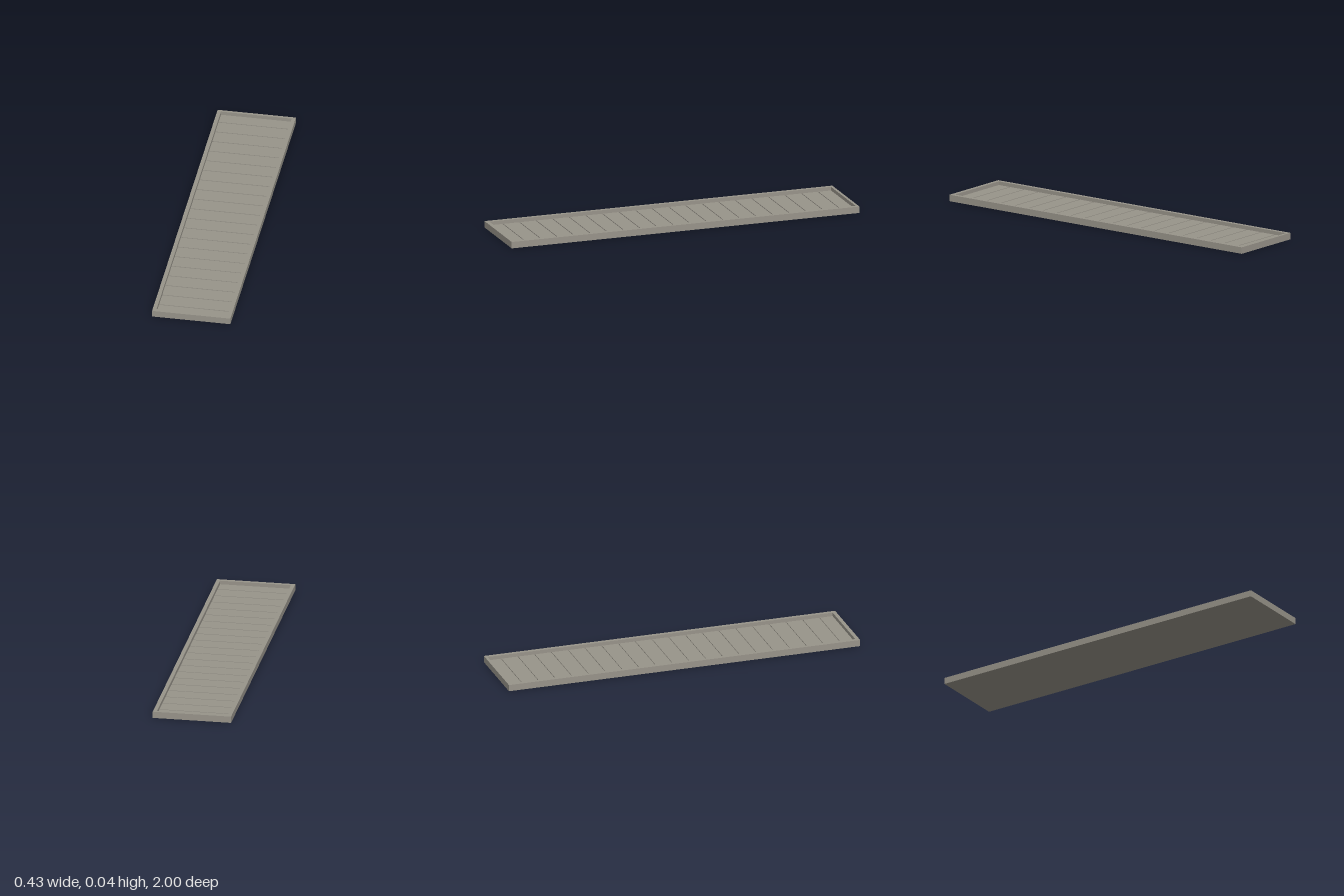
import * as THREE from 'three';

const HALF_W = 0.215, HEIGHT = 0.036;
const INNER_X = 0.194, BACK = -0.985, FRONT = 0.979;
const PLANK_TOP = 0.016, GROOVE_TOP = 0.012, GROOVE = 0.007;

export function createModel() {
  const group = new THREE.Group();
  const stone = new THREE.MeshStandardMaterial({ color: 0x98948a });
  stone.name = 'warm grey';

  const add = (name, geometry) => {
    const mesh = new THREE.Mesh(geometry, stone);
    mesh.name = name;
    group.add(mesh);
    return mesh;
  };

  // Raised border: a rectangular frame, extruded upward
  const rect = (Type, x, z0, z1) => new Type([
    new THREE.Vector2(-x, -z1), new THREE.Vector2(x, -z1),
    new THREE.Vector2(x, -z0), new THREE.Vector2(-x, -z0),
  ]);
  const frame = rect(THREE.Shape, HALF_W, -1, 1);
  frame.holes.push(rect(THREE.Path, INNER_X, BACK, FRONT));
  const rim = new THREE.ExtrudeGeometry(frame, { depth: HEIGHT, bevelEnabled: false });
  add('rim', rim.rotateX(-Math.PI / 2));

  // Base slab, whose top forms the groove bottoms
  const base = new THREE.BoxGeometry(INNER_X * 2, GROOVE_TOP, FRONT - BACK);
  add('base', base).position.set(0, GROOVE_TOP / 2, (FRONT + BACK) / 2);

  // Floor slats separated by narrow cross grooves
  const cuts = Array.from({ length: 20 }, (_, i) => -0.91 + i * 0.0954);
  const starts = [BACK, ...cuts.map((z) => z + GROOVE / 2)];
  const ends = [...cuts.map((z) => z - GROOVE / 2), FRONT];
  const thick = PLANK_TOP - GROOVE_TOP;
  starts.forEach((z0, i) => {
    const slat = new THREE.BoxGeometry(INNER_X * 2, thick, ends[i] - z0);
    add(`slat${i + 1}`, slat).position.set(0, GROOVE_TOP + thick / 2, (z0 + ends[i]) / 2);
  });

  return group;
}
